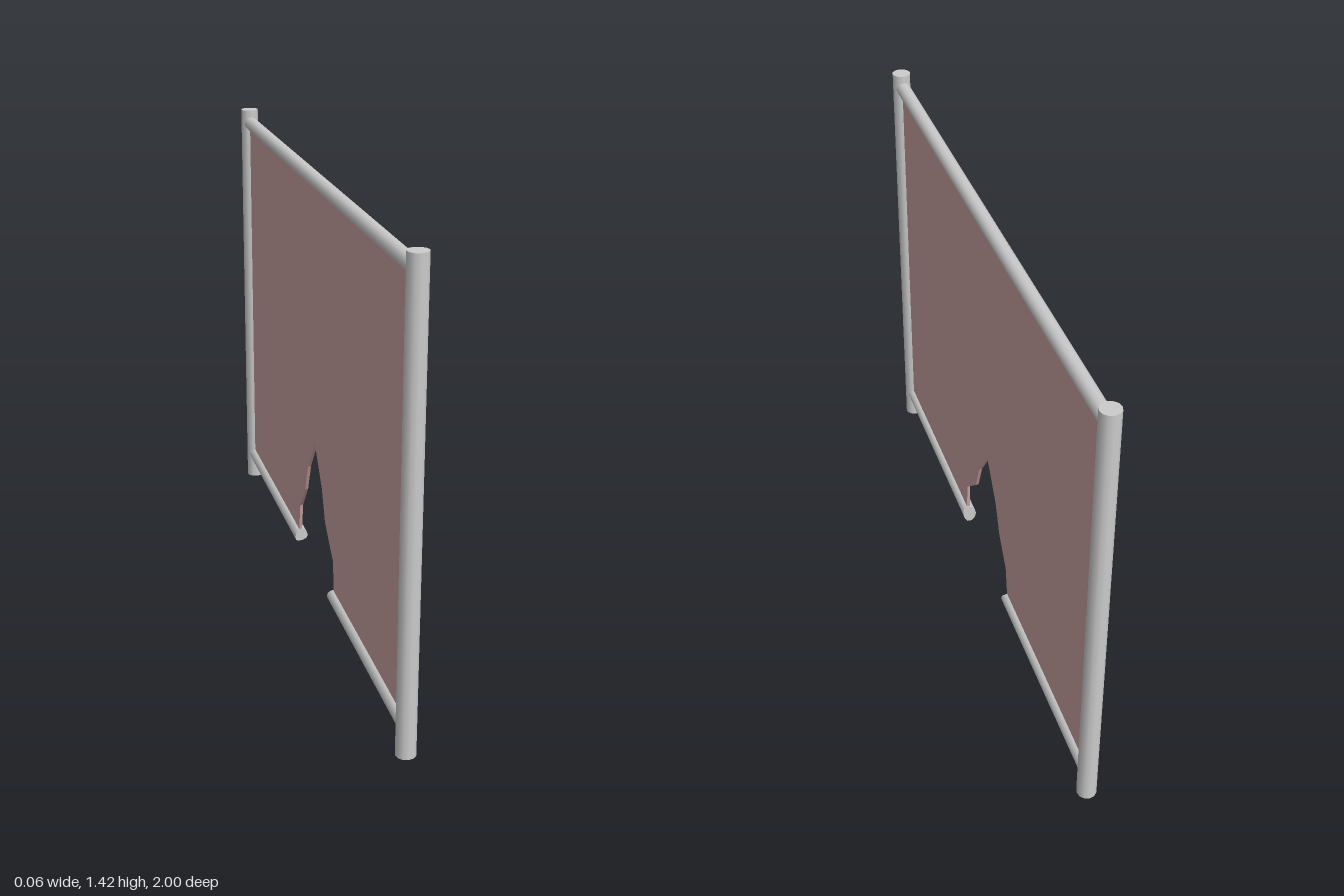
import * as THREE from 'three';

const POST_R = 0.03, POST_H = 1.425, POST_Z = 0.97;
const RAIL_R = 0.023, RAIL_END = 0.96, TOP_Y = 1.378, LOW_Y = 0.09;

export function createModel() {
  const model = new THREE.Group();
  const metal = new THREE.MeshStandardMaterial({ color: 0xcccccc });
  const cloth = new THREE.MeshStandardMaterial({ color: 0xcca3a3, side: THREE.DoubleSide });

  const add = (name, geometry, material, y = 0, z = 0) => {
    const mesh = new THREE.Mesh(geometry, material);
    mesh.name = name;
    mesh.position.set(0, y, z);
    model.add(mesh);
  };

  // Upright posts
  for (const s of [1, -1]) {
    add(s > 0 ? 'frontPost' : 'backPost',
      new THREE.CylinderGeometry(POST_R, POST_R, POST_H, 12), metal, POST_H / 2, s * POST_Z);
  }

  // Unbroken top rail
  const rail = new THREE.CylinderGeometry(RAIL_R, RAIL_R, 2 * RAIL_END, 12).rotateX(Math.PI / 2);
  add('topRail', rail, metal, TOP_Y);

  // Snapped bottom rail: the inner end of each half is pushed to a ragged edge
  const brokenRail = (s, ragged) => {
    const inner = 0.22;
    const g = new THREE.CylinderGeometry(RAIL_R, RAIL_R, RAIL_END - inner, 12)
      .rotateX(Math.PI / 2)
      .translate(0, 0, s * (RAIL_END + inner) / 2);
    const p = g.attributes.position;
    for (let i = 0; i < p.count; i++) {
      if (Math.abs(p.getZ(i)) > 0.5) continue;
      p.setZ(i, s * ragged(p.getY(i) / RAIL_R, p.getX(i) / RAIL_R));
    }
    return g;
  };
  add('frontBottomRail',
    brokenRail(1, (v, u) => 0.213 + 0.012 * v + 0.006 * u * v), metal, LOW_Y);
  add('backBottomRail',
    brokenRail(-1, (v, u) => 0.213 + 0.014 * v * v + 0.005 * u), metal, LOW_Y);

  // Thin panel with a torn notch, drawn in (z, y)
  const outline = [
    [0.95, LOW_Y], [0.95, TOP_Y], [-0.95, TOP_Y], [-0.95, LOW_Y],
    [-0.23, LOW_Y], [-0.21, 0.21], [-0.14, 0.3], [-0.1, 0.4], [-0.01, 0.52],
    [0.08, 0.4], [0.12, 0.3], [0.22, 0.21], [0.23, LOW_Y],
  ];
  const shape = new THREE.Shape(outline.map(([z, y]) => new THREE.Vector2(z, y)));
  const depth = 0.01;
  const panel = new THREE.ExtrudeGeometry(shape, { depth, bevelEnabled: false })
    .translate(0, 0, -depth / 2)
    .rotateY(-Math.PI / 2);
  add('tornPanel', panel, cloth);

  return model;
}
